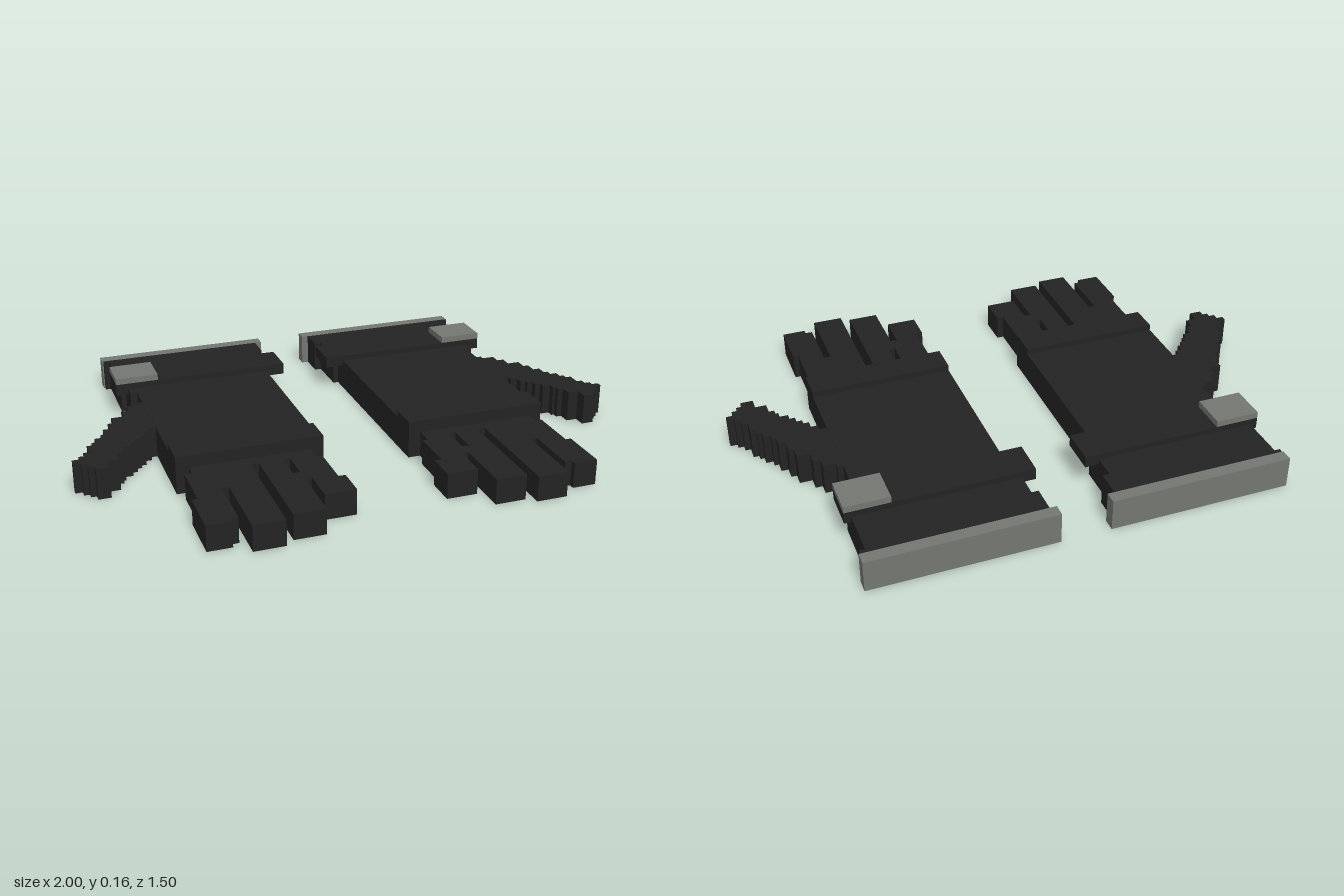
import * as THREE from 'three';

const fabric = new THREE.MeshStandardMaterial({ color: 0x232323 });
fabric.name = 'black fabric';
const trim = new THREE.MeshStandardMaterial({ color: 0x747672 });
trim.name = 'grey trim';

// Stepped silhouette: each row is [zStart, xInner, xOuter]; the last row only gives the end z.
function stepped(rows, height, name) {
  const inner = [], outer = [];
  for (let i = 0; i < rows.length - 1; i++) {
    const [z0, a, b] = rows[i], z1 = rows[i + 1][0];
    inner.push([a, z0], [a, z1]);
    outer.push([b, z0], [b, z1]);
  }
  const outline = [...inner, ...outer.reverse()];
  const shape = new THREE.Shape(outline.map(([x, z]) => new THREE.Vector2(x, -z)));
  const geo = new THREE.ExtrudeGeometry(shape, { depth: height, bevelEnabled: false });
  geo.rotateX(-Math.PI / 2);
  const mesh = new THREE.Mesh(geo, fabric);
  mesh.name = name;
  return mesh;
}

function box(x0, x1, y0, y1, z0, z1, mat, name) {
  const mesh = new THREE.Mesh(new THREE.BoxGeometry(x1 - x0, y1 - y0, z1 - z0), mat);
  mesh.position.set((x0 + x1) / 2, (y0 + y1) / 2, (z0 + z1) / 2);
  mesh.name = name;
  return mesh;
}

// Reverse winding after a mirror in x so faces still point outwards.
function mirrorGeometry(geometry) {
  const geo = geometry.index ? geometry.toNonIndexed() : geometry.clone();
  geo.scale(-1, 1, 1);
  for (const attr of Object.values(geo.attributes)) {
    const n = attr.itemSize;
    for (let i = 0; i < attr.count; i += 3) {
      for (let k = 0; k < n; k++) {
        const p = (i + 1) * n + k, q = (i + 2) * n + k;
        [attr.array[p], attr.array[q]] = [attr.array[q], attr.array[p]];
      }
    }
  }
  geo.computeVertexNormals();
  return geo;
}

function leftGlove() {
  const g = new THREE.Group();
  g.name = 'leftGlove';

  // Cuff, strap and buckle
  g.add(box(0.09, 0.75, 0, 0.115, -0.75, -0.705, trim, 'cuffTrim'));
  g.add(stepped([[-0.705, 0.115, 0.745], [-0.69, 0.115, 0.725], [-0.61, 0.14, 0.725],
    [-0.45, 0.16, 0.705], [-0.35, 0.16, 0.68], [0.295]], 0.115, 'cuffAndPalm'));
  g.add(box(0.09, 0.75, 0.095, 0.137, -0.525, -0.39, fabric, 'wristStrap'));
  g.add(box(0.59, 0.75, 0.137, 0.16, -0.525, -0.39, trim, 'strapBuckle'));
  g.add(box(0.16, 0.68, 0.0, 0.137, 0.185, 0.295, fabric, 'knuckleBand'));

  // Fingers
  const h = 0.092;
  g.add(stepped([[0.295, 0.205, 0.635], [0.34]], h, 'fingerBase'));
  g.add(stepped([[0.34, 0.205, 0.295], [0.36, 0.185, 0.295], [0.5, 0.185, 0.27],
    [0.52, 0.16, 0.27], [0.63]], h, 'littleFinger'));
  g.add(stepped([[0.34, 0.32, 0.405], [0.45, 0.295, 0.405], [0.72]], h, 'ringFinger'));
  g.add(stepped([[0.34, 0.435, 0.545], [0.747]], h, 'middleFinger'));
  g.add(stepped([[0.34, 0.545, 0.66], [0.475, 0.57, 0.66], [0.52, 0.57, 0.68],
    [0.68, 0.595, 0.68], [0.7]], h, 'indexFinger'));

  // Thumb
  g.add(stepped([[-0.25, 0.66, 0.7], [-0.23, 0.66, 0.745], [-0.19, 0.66, 0.77],
    [-0.145, 0.66, 0.815], [-0.1, 0.66, 0.835], [-0.055, 0.66, 0.86], [-0.015, 0.705, 0.875],
    [0.01, 0.73, 0.9], [0.04, 0.75, 0.915], [0.06, 0.77, 0.935], [0.085, 0.79, 0.935],
    [0.11, 0.82, 0.955], [0.135, 0.83, 0.975], [0.155, 0.85, 1.0], [0.175, 0.85, 0.975],
    [0.2, 0.89, 0.955], [0.22, 0.89, 0.935], [0.245]], 0.114, 'thumb'));
  return g;
}

export function createModel() {
  const model = new THREE.Group();
  model.name = 'gloves';
  const left = leftGlove();
  const right = new THREE.Group();
  right.name = 'rightGlove';
  for (const part of left.children) {
    const copy = new THREE.Mesh(mirrorGeometry(part.geometry), part.material);
    copy.position.set(-part.position.x, part.position.y, part.position.z);
    copy.name = part.name;
    right.add(copy);
  }
  model.add(left, right);
  return model;
}
